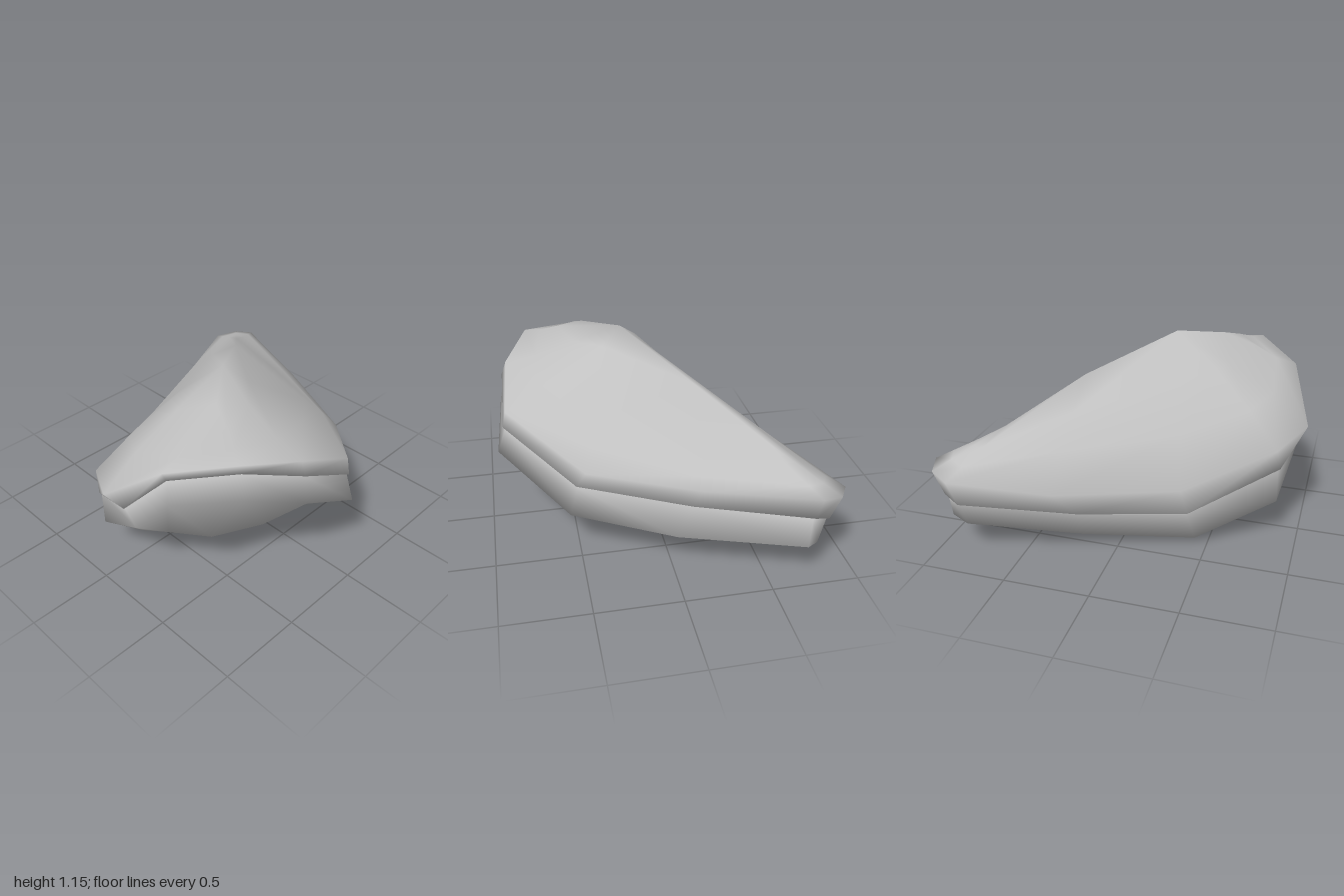
import * as THREE from 'three';
import { mergeVertices } from 'three/addons/utils/BufferGeometryUtils.js';

// Cross-section loops, thirteen points each, running left, front, right, narrow tip, back
const upperLip = [
  [-1, 0.66, 0.07], [-0.87, 0.92, 0.41], [-0.62, 0.99, 0.7], [-0.3, 0.92, 0.84], [0.06, 0.76, 0.87],
  [0.5, 0.56, 0.46], [0.78, 0.55, -0.14], [1, 0.56, -0.74], [0.96, 0.54, -0.86], [0.84, 0.52, -0.93],
  [0.3, 0.43, -0.75], [-0.37, 0.42, -0.48], [-0.86, 0.6, -0.19],
];
// Shoulder of the upper half: a crest in front, a round flank behind
const dome = [
  [-0.51, 0.99, 0.12], [-0.61, 1.03, 0.38], [-0.5, 1.05, 0.5], [-0.25, 1.04, 0.42], [-0.1, 1.06, 0.27],
  [0.3, 0.79, 0.36], [0.62, 0.65, -0.18], [0.8, 0.645, -0.62], [0.78, 0.645, -0.68], [0.73, 0.64, -0.7],
  [0.29, 0.79, -0.42], [-0.26, 0.92, -0.1], [-0.45, 0.98, 0.01],
];
const seam = [
  [-0.95, 0.59, 0.17], [-0.86, 0.88, 0.43], [-0.61, 0.94, 0.71], [-0.3, 0.84, 0.87], [0.06, 0.66, 0.89],
  [0.45, 0.45, 0.51], [0.74, 0.43, -0.1], [0.95, 0.41, -0.73], [0.92, 0.38, -0.82], [0.81, 0.36, -0.88],
  [0.2, 0.26, -0.63], [-0.4, 0.25, -0.43], [-0.88, 0.47, -0.15],
];
const lowerLip = [
  [-0.94, 0.5, 0.25], [-0.88, 0.74, 0.45], [-0.62, 0.79, 0.74], [-0.3, 0.67, 0.89], [0.06, 0.5, 0.93],
  [0.45, 0.26, 0.55], [0.72, 0.22, -0.02], [0.96, 0.23, -0.7], [0.91, 0.22, -0.77], [0.8, 0.2, -0.81],
  [0.2, 0.08, -0.55], [-0.43, 0.04, -0.34], [-0.87, 0.25, -0.14],
];
// Full, forward-swelling belly of the lower half
const belly = [
  [-0.78, 0.28, 0.1], [-0.75, 0.37, 0.29], [-0.6, 0.36, 0.48], [-0.3, 0.33, 0.59], [0, 0.25, 0.53],
  [0.28, 0.115, 0.24], [0.58, 0.11, -0.17], [0.7, 0.125, -0.5], [0.67, 0.12, -0.55], [0.62, 0.11, -0.57],
  [0.28, 0.04, -0.42], [-0.25, 0.025, -0.16], [-0.55, 0.12, 0],
];

// Ridge points that each station of a shell climbs to
const top = [[-0.18, 1.15, 0.15], [-0.43, 1.1, 0.35], [0.28, 0.95, -0.2], [0.65, 0.72, -0.55]];
const topRidge = [0, 1, 1, 0, 0, 2, 2, 3, 3, 3, 2, 0, 0].map((i) => top[i]);
const bottom = [[0, 0, 0.05], [0.43, 0.02, -0.32], [-0.24, 0.055, 0.15]];
const bottomRidge = [2, 2, 2, 0, 0, 0, 1, 1, 1, 1, 1, 0, 2].map((i) => bottom[i]);

// Loop between lip and dome, raised a little at each station
const rise = [0.03, -0.02, -0.01, -0.02, 0, 0.01, 0, 0, 0, 0, 0.04, 0.04, 0.02];
const flank = upperLip.map((p, i) =>
  p.map((v, k) => v + (dome[i][k] - v) * 0.45 + (k === 1 ? rise[i] : 0)));

// Skins a stack of loops into one smooth surface
function skin(loops, flip) {
  const n = loops[0].length;
  const index = [];
  for (let r = 0; r < loops.length - 1; r++) {
    for (let i = 0; i < n; i++) {
      const j = (i + 1) % n;
      const a = r * n + i, b = r * n + j, c = a + n, d = b + n;
      if (flip) index.push(a, d, b, a, c, d);
      else index.push(a, b, d, a, d, c);
    }
  }
  const geometry = new THREE.BufferGeometry();
  geometry.setAttribute('position', new THREE.Float32BufferAttribute(loops.flat(2), 3));
  geometry.setIndex(index);
  const merged = mergeVertices(geometry, 1e-4);
  merged.computeVertexNormals();
  return merged;
}

export function createModel() {
  const group = new THREE.Group();
  group.name = 'bivalveShell';
  const shellGrey = new THREE.MeshStandardMaterial({ color: 0xc0c0c0 });
  shellGrey.name = 'shell grey';
  shellGrey.side = THREE.DoubleSide;

  // Groove where both halves turn inward and meet
  const groove = seam.map(([x, y, z]) => [x * 0.92, y, z * 0.92]);

  // Domed upper half with a rolled lip
  const upper = new THREE.Mesh(
    skin([groove, seam, upperLip, flank, dome, topRidge], false), shellGrey);
  upper.name = 'upperShell';

  // Lower half with a rounded band under the seam
  const lowerSeam = seam.map(([x, y, z]) => [x * 0.985, y - 0.012, z * 0.985]);
  const lower = new THREE.Mesh(
    skin([groove, lowerSeam, lowerLip, belly, bottomRidge], true), shellGrey);
  lower.name = 'lowerShell';

  group.add(upper, lower);
  return group;
}
